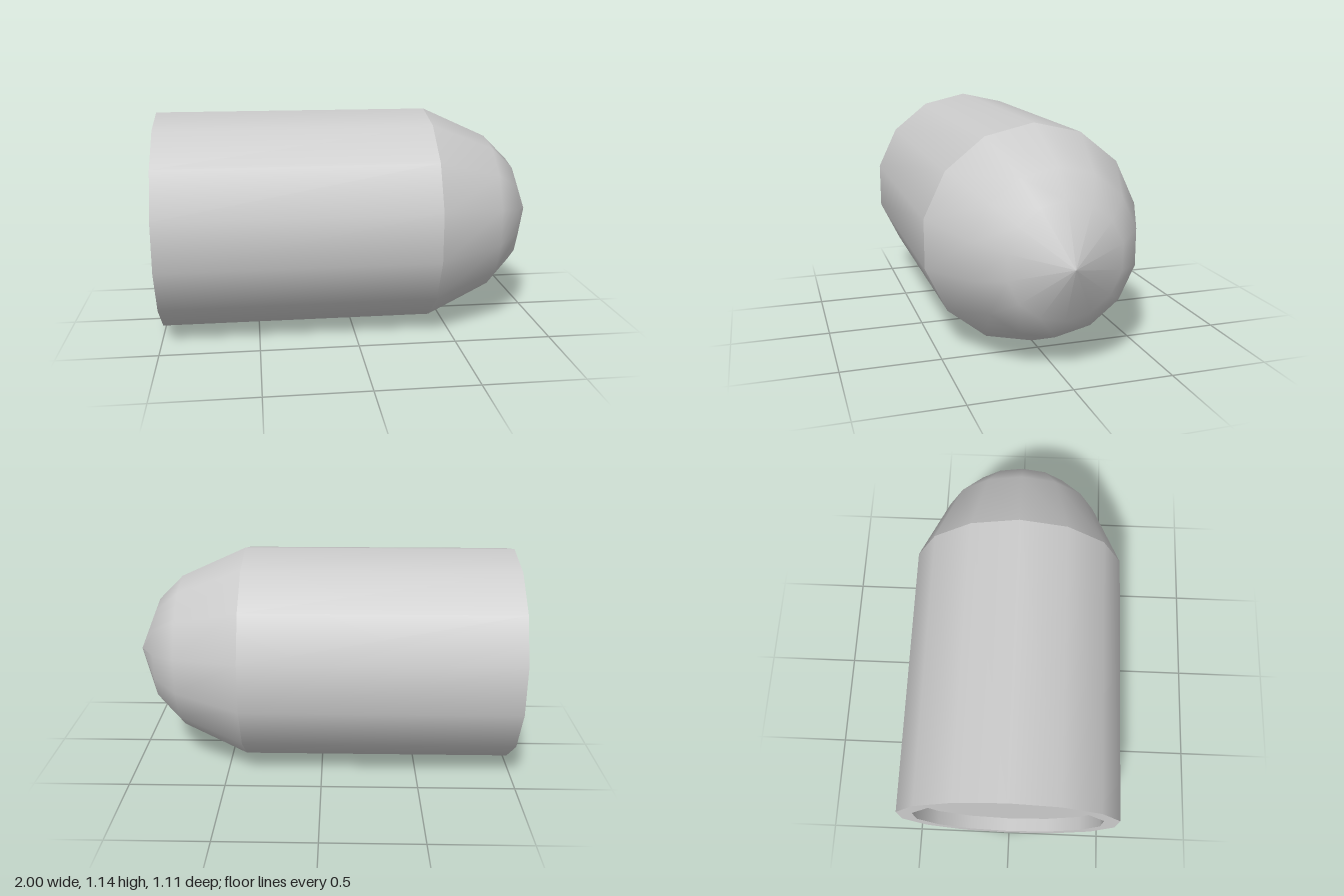
import * as THREE from 'three';

const SIDES = 14;
const RADIUS = 0.57;

export function createModel() {
  const group = new THREE.Group();
  group.name = 'bulletShape';
  const material = new THREE.MeshStandardMaterial({ color: 0xcccccc });

  // Turns a profile of [radius, x] pairs around the long x axis, a corner at the top and bottom
  function addTurned(name, profile) {
    const points = profile.map(([r, x]) => new THREE.Vector2(r, x));
    const geometry = new THREE.LatheGeometry(points, SIDES, Math.PI / 2);
    geometry.rotateZ(-Math.PI / 2);
    const mesh = new THREE.Mesh(geometry, material);
    mesh.name = name;
    mesh.position.y = RADIUS;
    group.add(mesh);
  }

  // Recessed base: floor, inner wall and flat rim, kept apart for sharp edges
  addTurned('baseFloor', [[0, -0.93], [0.49, -0.93]]);
  addTurned('recessWall', [[0.49, -0.93], [0.49, -1]]);
  addTurned('baseRim', [[0.49, -1], [RADIUS, -1]]);

  // Straight body and smooth rounded nose
  addTurned('body', [[RADIUS, -1], [RADIUS, 0.41]]);
  addTurned('nose', [[RADIUS, 0.41], [0.415, 0.75], [0.285, 0.88], [0, 1]]);

  return group;
}
